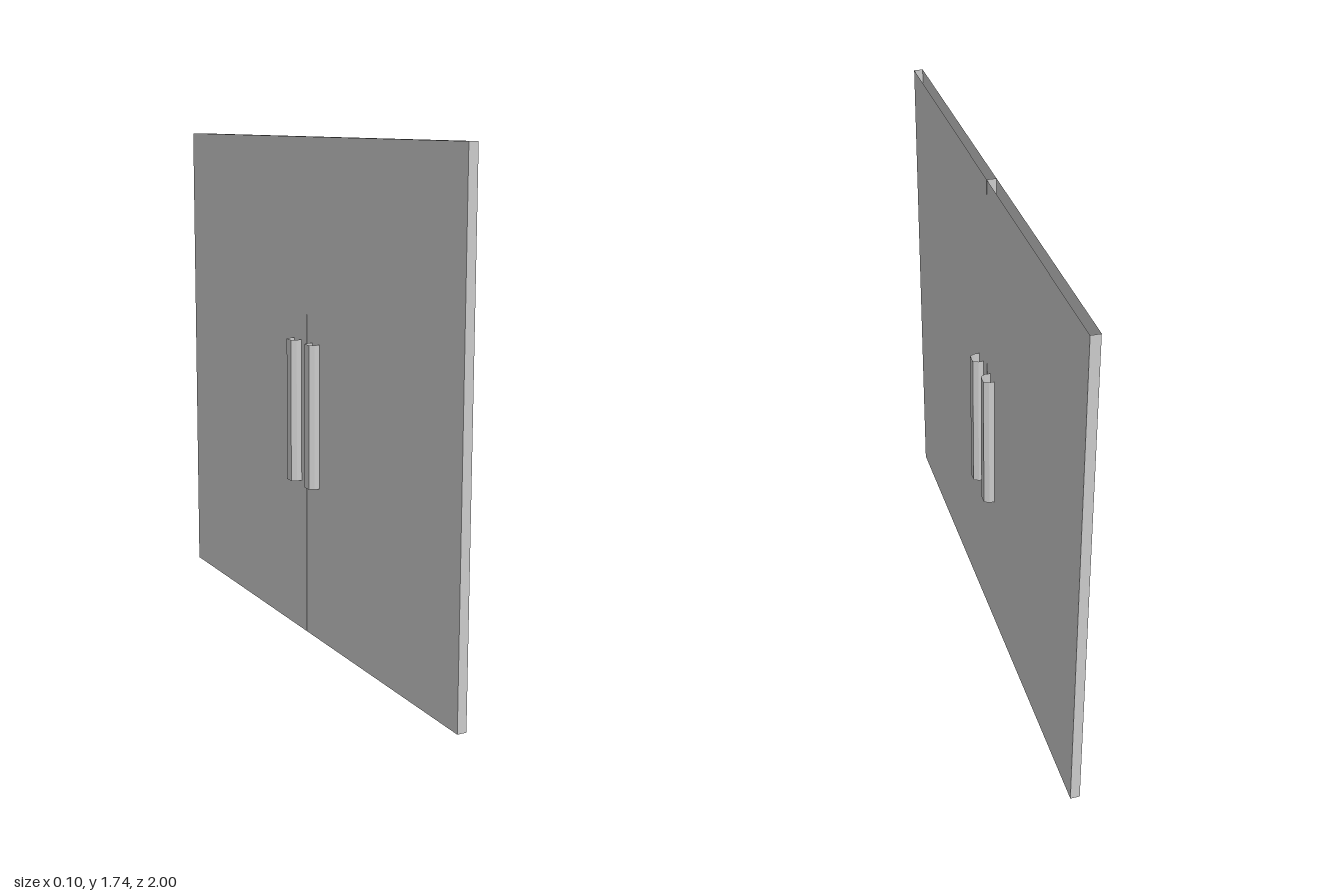
import * as THREE from 'three';

const material = new THREE.MeshStandardMaterial({
  color: 0xcccccc, flatShading: true, side: THREE.DoubleSide,
});

// Vertical walls around an [x, z] outline, open at top and bottom
function openPrism(name, outline, y0, y1) {
  const positions = [];
  outline.forEach(([ax, az], i) => {
    const [bx, bz] = outline[(i + 1) % outline.length];
    positions.push(ax, y0, az, bx, y0, bz, bx, y1, bz);
    positions.push(ax, y0, az, bx, y1, bz, ax, y1, az);
  });
  const geometry = new THREE.BufferGeometry();
  geometry.setAttribute('position', new THREE.Float32BufferAttribute(positions, 3));
  geometry.computeVertexNormals();
  const mesh = new THREE.Mesh(geometry, material);
  mesh.name = name;
  return mesh;
}

export function createModel() {
  const group = new THREE.Group();
  group.name = 'doubleDoor';
  const half = 0.016, height = 1.74;

  // Two door leaves meeting at a hairline seam
  for (const [name, z0, z1] of [['frontLeaf', 0.001, 1], ['backLeaf', -1, -0.001]]) {
    group.add(openPrism(name, [[-half, z1], [half, z1], [half, z0], [-half, z0]], 0, height));
  }

  // Bevelled pull handles, one on each face of each leaf
  const profile = [[half, 0.027], [0.035, 0.027], [0.052, 0.017],
    [0.052, -0.017], [0.035, -0.027], [half, -0.027]];
  for (const [leaf, z] of [['front', 0.072], ['back', -0.066]]) {
    for (const side of [1, -1]) {
      // Rotating the profile half a turn keeps the walls facing outwards
      const outline = profile.map(([x, dz]) => [side * x, z + side * dz]);
      group.add(openPrism(`${leaf}Handle${side > 0 ? 'Left' : 'Right'}`, outline, 0.545, 1.047));
    }
  }
  return group;
}
